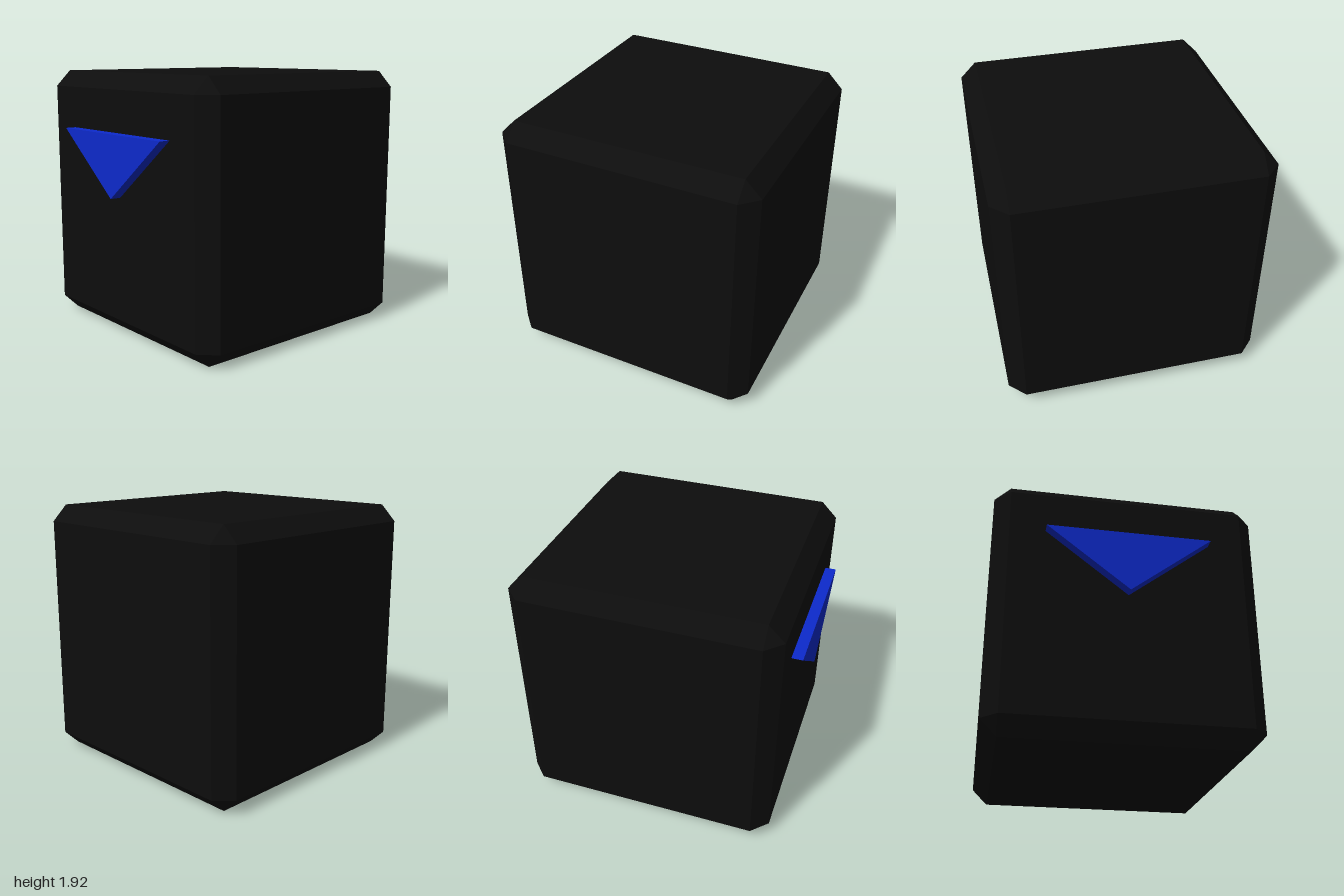
import * as THREE from 'three';
import { ConvexGeometry } from 'three/addons/geometries/ConvexGeometry.js';

const HALF = 0.96; // half the cube's side
const BEVEL = 0.116; // width cut from each edge
const CENTRE_Z = -0.04;

// Cube with flat bevelled edges and triangular corners
function bevelledCube(half, bevel) {
  const inner = half - bevel;
  const points = [];
  for (const x of [-1, 1]) for (const y of [-1, 1]) for (const z of [-1, 1]) {
    points.push(
      new THREE.Vector3(x * half, y * inner, z * inner),
      new THREE.Vector3(x * inner, y * half, z * inner),
      new THREE.Vector3(x * inner, y * inner, z * half),
    );
  }
  return new ConvexGeometry(points);
}

export function createModel() {
  const model = new THREE.Group();
  model.name = 'bevelledCubeWithTriangle';

  // Body
  const body = new THREE.Mesh(
    bevelledCube(HALF, BEVEL),
    new THREE.MeshStandardMaterial({ color: 0x0d0d0d, flatShading: true }),
  );
  body.name = 'body';
  body.position.set(0, HALF, CENTRE_Z);
  model.add(body);

  // Raised triangle on the front, sunk slightly into the body
  const outline = new THREE.Shape([
    new THREE.Vector2(-0.59, 1.5),
    new THREE.Vector2(0, 1.04),
    new THREE.Vector2(0.59, 1.5),
  ]);
  const triangle = new THREE.Mesh(
    new THREE.ExtrudeGeometry(outline, { depth: 0.1, bevelEnabled: false }),
    new THREE.MeshStandardMaterial({ color: 0x0d2acc, flatShading: true }),
  );
  triangle.name = 'frontTriangle';
  triangle.position.z = 0.9;
  model.add(triangle);

  return model;
}
